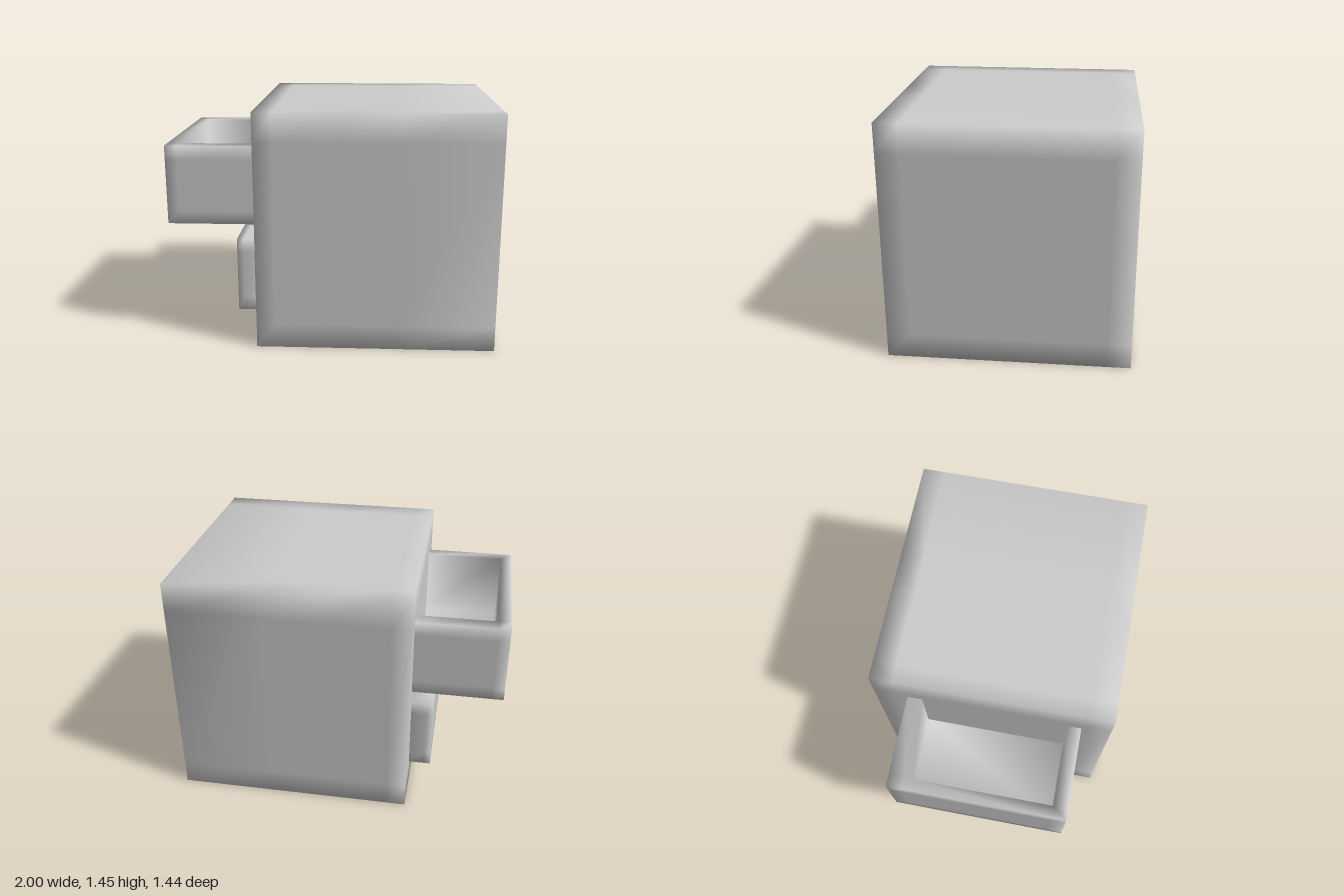
import * as THREE from 'three';
import { mergeVertices } from 'three/addons/utils/BufferGeometryUtils.js';

// Box whose grid lines sit at the given coordinates, with softly blended normals.
// With a floor height, the middle of the top is sunk to make an open tray.
function softBox(name, xs, ys, zs, floor) {
  const nx = xs.length - 1, ny = ys.length - 1, nz = zs.length - 1;
  let geo = new THREE.BoxGeometry(nx, ny, nz, nx, ny, nz);
  const p = geo.attributes.position;
  for (let n = 0; n < p.count; n++) {
    const i = Math.round(p.getX(n) + nx / 2);
    const j = Math.round(p.getY(n) + ny / 2);
    const k = Math.round(p.getZ(n) + nz / 2);
    const sunk = floor !== undefined && j === ny && i > 1 && i < nx - 1 && k > 1 && k < nz - 1;
    p.setXYZ(n, xs[i], sunk ? floor : ys[j], zs[k]);
  }
  geo.deleteAttribute('normal');
  geo.deleteAttribute('uv');
  geo = mergeVertices(geo, 1e-4);
  geo.computeVertexNormals();
  const mesh = new THREE.Mesh(geo, new THREE.MeshStandardMaterial({ color: 0xcccccc }));
  mesh.name = name;
  return mesh;
}

export function createModel() {
  const group = new THREE.Group();
  group.name = 'drawerCabinet';

  // Cabinet body
  group.add(softBox('cabinetBody',
    [-0.445, -0.33, 0.1, 0.4, 1], [0, 0.15, 1.27, 1.445], [-0.72, -0.58, 0.58, 0.72]));

  // Upper drawer, pulled out and hollow; its inner end is closed by the cabinet
  group.add(softBox('upperDrawer',
    [-1, -0.93, -0.93, -0.44, -0.44, -0.4], [0.73, 0.81, 1.13, 1.215],
    [-0.515, -0.425, -0.425, 0.46, 0.46, 0.545], 0.8));

  // Lower drawer, only slightly open
  group.add(softBox('lowerDrawer',
    [-0.58, -0.54, -0.4], [0.17, 0.25, 0.55, 0.63], [-0.495, -0.41, 0.46, 0.545]));

  return group;
}
